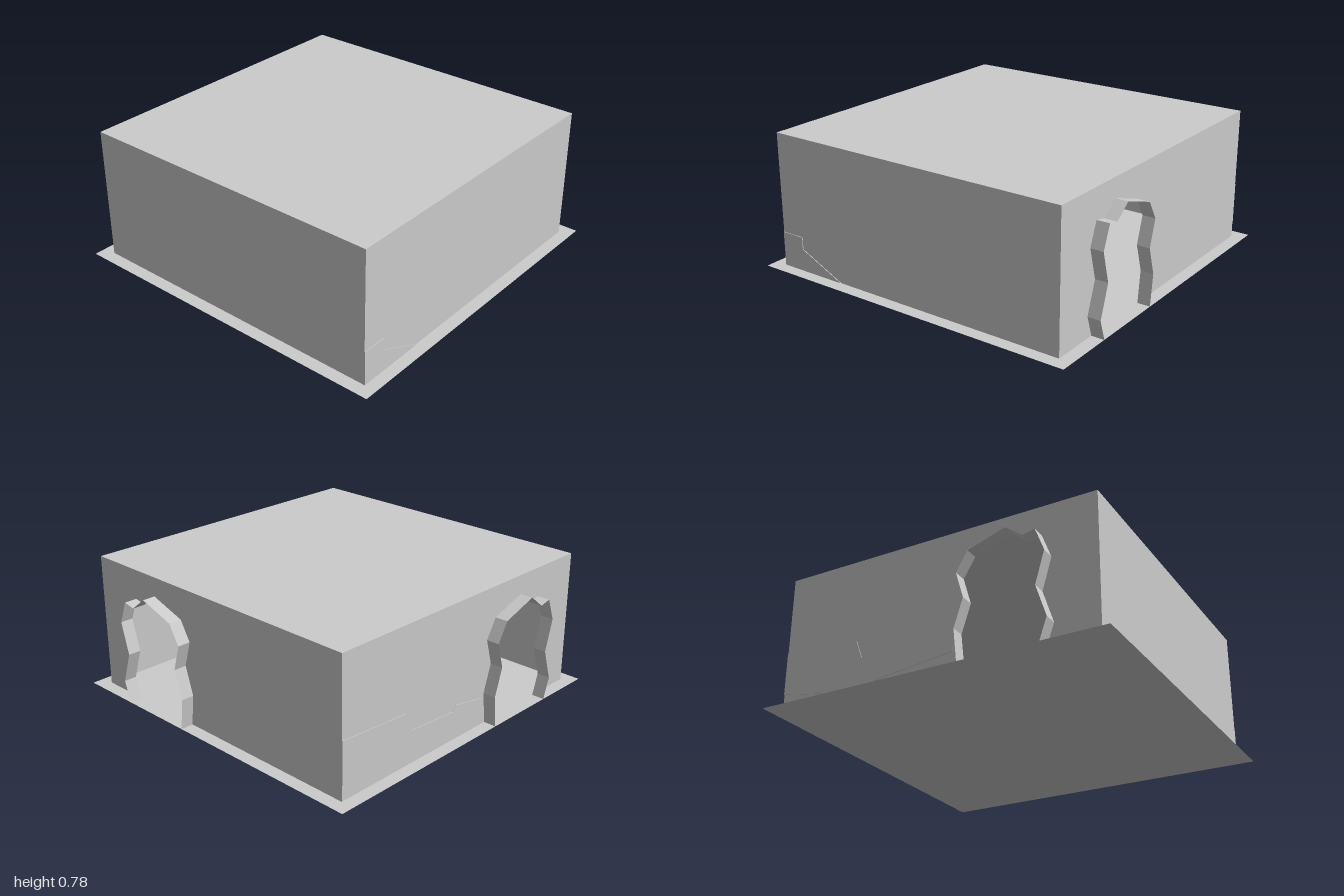
import * as THREE from 'three';

const HALF = 0.925;   // half width of the room
const HEIGHT = 0.78;
const REVEAL = 0.075; // how far the doorway rims stand out

const mat = new THREE.MeshStandardMaterial({ color: 0xcccccc, side: THREE.DoubleSide, flatShading: true });

// Rough cave-like doorway outline, [along wall, height]
const DOOR = [
  [0.19, 0], [0.17, 0.18], [0.22, 0.34], [0.175, 0.49], [0.24, 0.6], [0.455, 0.67],
  [0.55, 0.595], [0.62, 0.61], [0.67, 0.48], [0.62, 0.3], [0.68, 0.12], [0.64, 0],
];

// Shallow jagged steps along the foot of the side walls
const RIGHT_STEP = [[-HALF, 0], [-HALF, 0.2], [-0.78, 0.2], [-0.78, 0.13], [-0.63, 0.06], [-0.5, 0]];
const LEFT_STEP = [
  [-HALF, 0.09], [-HALF, 0.33], [-0.47, 0.3], [-0.43, 0.19], [-0.1, 0.17],
  [-0.07, 0.2], [0.15, 0.16], [0.12, 0.1], [-0.3, 0.05], [-0.5, 0.01],
];

const toShape = (points) => new THREE.Shape(points.map(([u, v]) => new THREE.Vector2(u, v)));

function mesh(name, geometry) {
  const m = new THREE.Mesh(geometry, mat);
  m.name = name;
  return m;
}

// Flat wall whose lower edge follows the doorway, if there is one
function wallGeometry(door) {
  return new THREE.ShapeGeometry(toShape([
    [-HALF, 0], ...door, [HALF, 0], [HALF, HEIGHT], [-HALF, HEIGHT],
  ]));
}

// Ribbon standing out from the wall along the doorway outline
function rimGeometry(door) {
  const pos = [];
  const index = [];
  door.forEach(([u, v], i) => {
    pos.push(u, v, 0, u, v, REVEAL);
    if (i) {
      const a = 2 * i - 2;
      index.push(a, a + 2, a + 1, a + 1, a + 2, a + 3);
    }
  });
  const g = new THREE.BufferGeometry();
  g.setAttribute('position', new THREE.Float32BufferAttribute(pos, 3));
  g.setIndex(index);
  g.computeVertexNormals();
  return g;
}

// One side of the room, built facing +z and turned into place
function side(name, angle, door = [], step = null) {
  const g = new THREE.Group();
  g.name = name;
  g.add(mesh(name + 'Panel', wallGeometry(door)));
  if (door.length) g.add(mesh('doorwayRim', rimGeometry(door)));
  if (step) {
    g.add(mesh('wallStep', new THREE.ExtrudeGeometry(toShape(step), { depth: 0.004, bevelEnabled: false })));
  }
  g.children.forEach((m) => { m.position.z = HALF; });
  g.rotation.y = angle;
  return g;
}

export function createModel() {
  const room = new THREE.Group();
  room.name = 'room';

  // Floor slab reaches out under the doorway rims
  const floor = mesh('floor', new THREE.PlaneGeometry(2, 2));
  floor.rotation.x = -Math.PI / 2;

  const ceiling = mesh('ceiling', new THREE.PlaneGeometry(2 * HALF, 2 * HALF));
  ceiling.rotation.x = -Math.PI / 2;
  ceiling.position.y = HEIGHT;

  // The back doorway mirrors the side one
  const mirrored = DOOR.map(([u, v]) => [-u, v]).reverse();
  room.add(
    floor,
    ceiling,
    side('frontWall', 0),
    side('leftWall', Math.PI / 2, [], RIGHT_STEP.map(([u, v]) => [u, v])),
    side('backWall', Math.PI, mirrored),
    side('rightWall', -Math.PI / 2, DOOR, LEFT_STEP),
  );
  return room;
}
